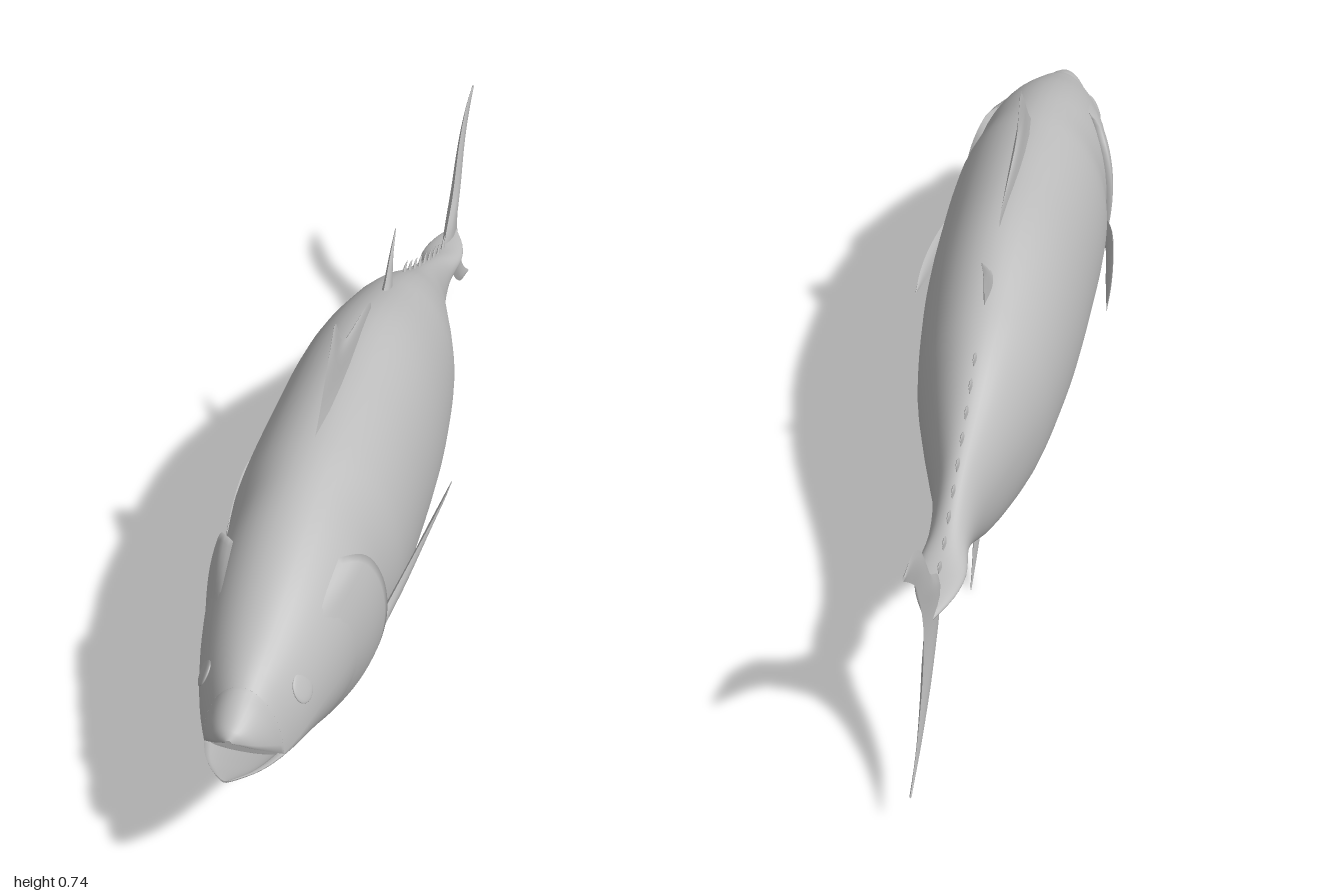
import * as THREE from 'three';

const V = (x, y, z) => new THREE.Vector3(x, y, z);
const rad = THREE.MathUtils.degToRad;

// Body stations: z, top y, bottom y, y of widest point, half width
const BODY = [
  [0.89, 0.44, 0.28, 0.305, 0.07], [0.85, 0.462, 0.257, 0.315, 0.088],
  [0.8, 0.485, 0.23, 0.33, 0.105], [0.7, 0.53, 0.175, 0.34, 0.13],
  [0.6, 0.565, 0.14, 0.345, 0.145], [0.5, 0.59, 0.115, 0.35, 0.149],
  [0.4, 0.605, 0.098, 0.35, 0.163], [0.2, 0.617, 0.085, 0.35, 0.162],
  [0, 0.612, 0.088, 0.345, 0.154], [-0.2, 0.555, 0.1, 0.335, 0.13],
  [-0.3, 0.515, 0.12, 0.33, 0.105], [-0.4, 0.462, 0.158, 0.325, 0.075],
  [-0.5, 0.415, 0.22, 0.32, 0.047], [-0.6, 0.37, 0.275, 0.32, 0.037],
  [-0.68, 0.34, 0.302, 0.32, 0.045], [-0.74, 0.332, 0.308, 0.32, 0.034],
  [-0.8, 0.325, 0.315, 0.32, 0.008],
];

// Smooth lookup in a table whose first column is the key
function sample(rows, key) {
  const n = rows.length - 1, dir = Math.sign(rows[n][0] - rows[0][0]);
  let i = 0;
  while (i < n - 1 && (key - rows[i + 1][0]) * dir > 0) i++;
  const a = rows[i], b = rows[i + 1], h = b[0] - a[0];
  const t = THREE.MathUtils.clamp((key - a[0]) / h, 0, 1);
  const slope = (k, c) => {
    const p = rows[Math.max(0, k - 1)], q = rows[Math.min(n, k + 1)];
    return (q[c] - p[c]) / (q[0] - p[0]);
  };
  return a.map((v, c) => c === 0 ? key :
    v * (2 * t ** 3 - 3 * t * t + 1) + b[c] * (3 * t * t - 2 * t ** 3) +
    h * (slope(i, c) * (t ** 3 - 2 * t * t + t) + slope(i + 1, c) * (t ** 3 - t * t)));
}

// Point on the body skin; angle 0 is the back, 180 the belly
function skin(z, angle, lift = 0) {
  const [, top, bottom, mid, w] = sample(BODY, z);
  const s = Math.sin(angle), c = Math.cos(angle);
  return V((w + lift) * s, mid + c * ((c > 0 ? top - mid : mid - bottom) + lift), z);
}

// Surface through rows of points, optionally wrapped and capped
function surface(rows, wrap = false, caps = false) {
  const m = rows[0].length, pts = rows.flat(), index = [];
  for (let i = 0; i < rows.length - 1; i++) {
    for (let j = 0; j < (wrap ? m : m - 1); j++) {
      const a = i * m + j, b = i * m + (j + 1) % m;
      index.push(a, b, a + m, b, b + m, a + m);
    }
  }
  if (caps) {
    [rows[0], rows[rows.length - 1]].forEach((ring, k) => {
      const base = pts.length;
      const centre = ring.reduce((s, p) => s.add(p), V(0, 0, 0)).divideScalar(m);
      pts.push(...ring, centre);
      for (let j = 0; j < m; j++) {
        const a = base + j, b = base + (j + 1) % m;
        index.push(...(k ? [a, b, base + m] : [b, a, base + m]));
      }
    });
  }
  const g = new THREE.BufferGeometry().setFromPoints(pts);
  g.setIndex(index);
  g.computeVertexNormals();
  return g;
}

export function createModel() {
  const model = new THREE.Group();
  model.name = 'fish';
  const grey = new THREE.MeshStandardMaterial({ color: 0xbcbcbc, side: THREE.DoubleSide });
  grey.name = 'grey skin';
  const add = (name, geometry, parent = model) => {
    const mesh = new THREE.Mesh(geometry, grey);
    mesh.name = name;
    parent.add(mesh);
    return mesh;
  };

  // Thin lens-section fin between a leading and a trailing edge
  function fin(name, lead, trail, thick, axis = V(1, 0, 0), steps = 18) {
    const group = new THREE.Group();
    group.name = name;
    model.add(group);
    const a = new THREE.CatmullRomCurve3(lead), b = new THREE.CatmullRomCurve3(trail);
    for (const side of [1, -1]) {
      const rows = [];
      for (let i = 0; i <= steps; i++) {
        const t = i / steps, p = a.getPoint(t), q = b.getPoint(t), row = [];
        for (let j = 0; j <= 6; j++) {
          const bulge = Math.sin(Math.PI * Math.pow(j / 6, 0.75)) * thick(t) * side;
          row.push(p.clone().lerp(q, j / 6).addScaledVector(axis, bulge));
        }
        rows.push(row);
      }
      add(name + (side > 0 ? 'FaceA' : 'FaceB'), surface(rows), group);
    }
  }
  const flat = (list) => list.map(([z, y]) => V(0, y, z));
  const taper = (t0) => (t) => t0 * (1 - 0.9 * t);

  // Body
  const rings = [];
  for (let i = 0; i <= 84; i++) {
    const z = 0.89 - 1.69 * i / 84;
    rings.push(Array.from({ length: 48 }, (_, j) => skin(z, j / 48 * Math.PI * 2)));
  }
  add('body', surface(rings, true, true));

  // Jaws: z, apex y, lip y, half width
  function jaw(name, rows) {
    const z0 = rows[0][0], z1 = rows[rows.length - 1][0], list = [];
    for (let i = 0; i <= 14; i++) {
      const [z, apex, lip, w] = sample(rows, z0 + (z1 - z0) * i / 14), ring = [];
      for (let j = 0; j <= 20; j++) {
        const a = (j / 20 - 0.5) * Math.PI;
        ring.push(V(w * Math.sin(a), lip + (apex - lip) * Math.cos(a), z));
      }
      for (let j = 0; j <= 12; j++) {
        const a = (0.5 - j / 12) * Math.PI;
        ring.push(V(w * 0.85 * Math.sin(a), lip + (apex - lip) * 0.45 * Math.cos(a), z));
      }
      list.push(ring);
    }
    add(name, surface(list, true, true));
  }
  jaw('upperJaw', [[0.89, 0.44, 0.305, 0.07], [0.92, 0.428, 0.335, 0.058],
    [0.95, 0.413, 0.365, 0.038], [0.965, 0.405, 0.382, 0.02], [0.972, 0.396, 0.39, 0.006]]);
  jaw('lowerJaw', [[0.89, 0.28, 0.305, 0.07], [0.93, 0.297, 0.315, 0.056],
    [0.96, 0.31, 0.322, 0.04], [0.985, 0.32, 0.33, 0.022], [1, 0.328, 0.334, 0.008]]);

  // Gill covers: raised plates with a free rear edge (angle, edge z)
  const edge = [[40, 0.61], [60, 0.55], [90, 0.52], [120, 0.53], [140, 0.58], [165, 0.72], [180, 0.82]];
  for (const side of [1, -1]) {
    const label = side > 0 ? 'left' : 'right';
    const rows = [];
    for (let i = 0; i <= 36; i++) {
      const deg = 40 + 140 * i / 36, z1 = sample(edge, deg)[1];
      const z0 = Math.min(0.88, z1 + 0.17), row = [];
      const fade = Math.min(1, (deg - 40) / 10);
      for (let j = 0; j <= 10; j++) {
        const u = j / 10;
        row.push(skin(z0 + (z1 - z0) * u, rad(deg), -0.002 + 0.015 * fade * u * u * (3 - 2 * u)));
      }
      row.push(skin(z1 + 0.006, rad(deg), -0.004));
      row.forEach((p) => { p.x *= side; });
      rows.push(row);
    }
    add(label + 'GillCover', surface(rows));

    // Eye
    const eye = add(label + 'Eye', new THREE.SphereGeometry(0.028, 24, 16));
    eye.position.copy(skin(0.82, rad(61), -0.001));
    eye.position.x *= side;
    eye.scale.x = 0.18;
    eye.rotation.set(0, -side * 0.2, side * 0.45);

    // Pectoral fin
    const at = ([x, y, z]) => V(x * side, y, z);
    fin(label + 'PectoralFin',
      [[0.145, 0.305, 0.52], [0.172, 0.345, 0.41], [0.19, 0.356, 0.28], [0.196, 0.35, 0.19], [0.195, 0.336, 0.13]].map(at),
      [[0.145, 0.262, 0.5], [0.162, 0.285, 0.41], [0.176, 0.312, 0.28], [0.187, 0.325, 0.19], [0.195, 0.334, 0.13]].map(at),
      taper(0.008));

    // Pelvic fin
    fin(label + 'PelvicFin',
      [[0.015, 0.1, 0.48], [0.05, 0.08, 0.43], [0.08, 0.06, 0.37], [0.083, 0.052, 0.345]].map(at),
      [[0.015, 0.1, 0.41], [0.035, 0.08, 0.385], [0.06, 0.058, 0.355], [0.081, 0.05, 0.343]].map(at),
      taper(0.006), V(0, 1, 0));
  }

  // Fins along the middle
  fin('firstDorsalFin',
    flat([[0.42, 0.59], [0.37, 0.633], [0.31, 0.698], [0.26, 0.75]]),
    flat([[-0.015, 0.59], [-0.015, 0.622], [0.2, 0.677], [0.245, 0.742]]), taper(0.012));
  fin('secondDorsalFin',
    flat([[-0.1, 0.57], [-0.135, 0.59], [-0.17, 0.622], [-0.222, 0.665]]),
    flat([[-0.2, 0.54], [-0.198, 0.575], [-0.203, 0.62], [-0.225, 0.662]]), taper(0.01));
  fin('analFin',
    flat([[-0.22, 0.12], [-0.26, 0.085], [-0.31, 0.043], [-0.375, 0.006]]),
    flat([[-0.37, 0.15], [-0.34, 0.11], [-0.352, 0.065], [-0.378, 0.009]]), taper(0.01));
  fin('tailFin',
    flat([[-0.99, 0.584], [-0.92, 0.57], [-0.85, 0.515], [-0.785, 0.41], [-0.7, 0.32],
      [-0.785, 0.225], [-0.84, 0.165], [-0.91, 0.115], [-0.99, 0.092]]),
    flat([[-0.998, 0.58], [-0.945, 0.53], [-0.9, 0.48], [-0.87, 0.42], [-0.846, 0.325],
      [-0.865, 0.24], [-0.895, 0.19], [-0.935, 0.14], [-0.998, 0.09]]),
    (t) => 0.002 + 0.009 * Math.sin(Math.PI * t) ** 2, V(1, 0, 0), 40);

  // Finlets along the tail stalk
  for (const [name, column, up, first, last, count] of [
    ['upperFinlet', 1, 1, -0.29, -0.67, 9], ['lowerFinlet', 2, -1, -0.38, -0.67, 8]]) {
    for (let i = 0; i < count; i++) {
      const z = first + (last - first) * i / (count - 1);
      const y0 = sample(BODY, z)[column], y1 = sample(BODY, z - 0.035)[column];
      fin(name + (i + 1),
        flat([[z, y0 - up * 0.006], [z - 0.02, (y0 + y1) / 2 + up * 0.014], [z - 0.042, y1 + up * 0.02]]),
        flat([[z - 0.035, y1 - up * 0.006], [z - 0.033, y1 + up * 0.006], [z - 0.043, y1 + up * 0.019]]),
        taper(0.004), V(1, 0, 0), 5);
    }
  }
  return model;
}
